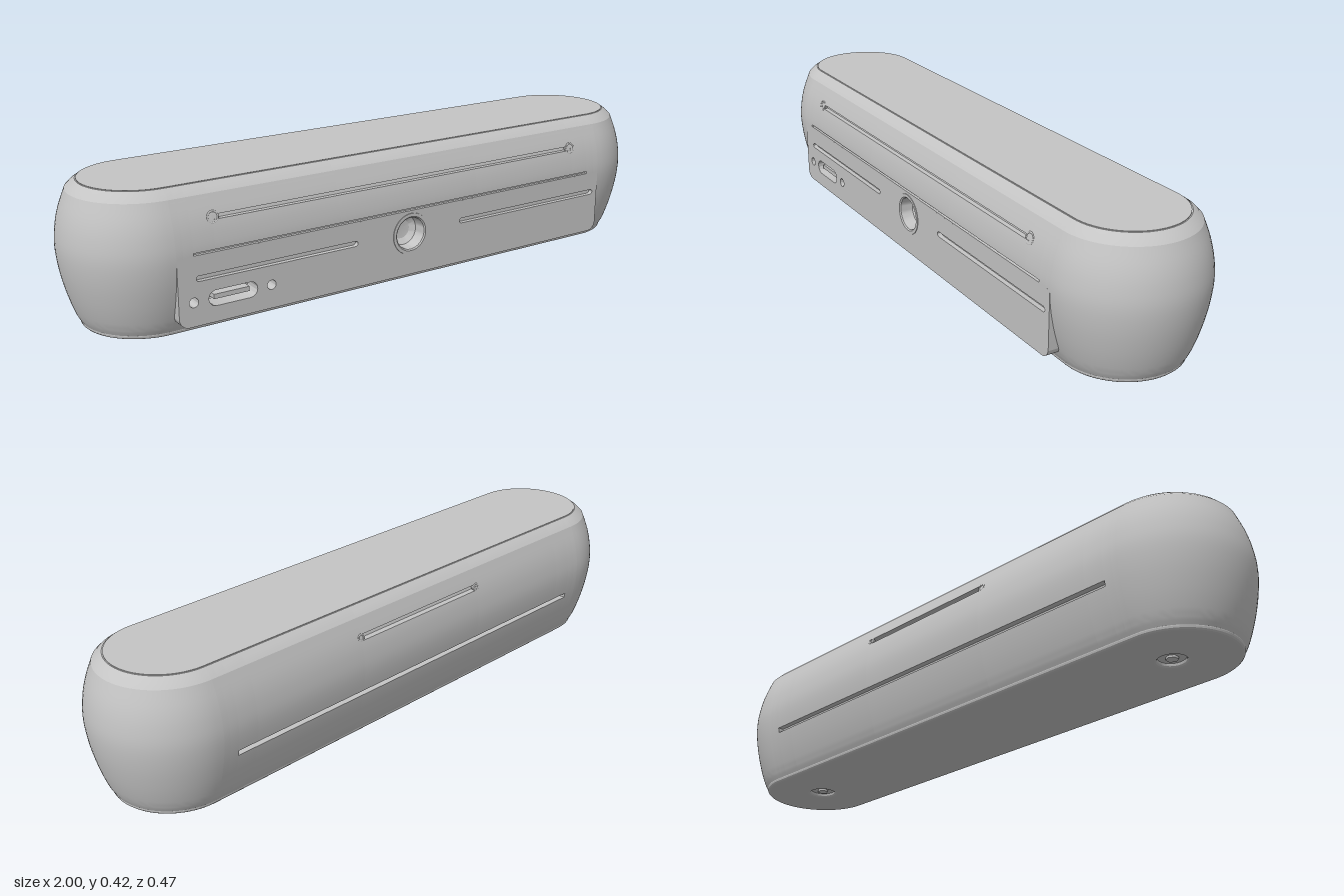
import * as THREE from 'three';
import { toCreasedNormals } from 'three/addons/utils/BufferGeometryUtils.js';

const HALF = 0.765; // half length of the straight middle
const vectors = list => list.map(p => new THREE.Vector2(...p));

// Bulging side profile: radius against height
const curve = new THREE.SplineCurve(vectors([
  [0.181, 0.012], [0.195, 0.04], [0.214, 0.1], [0.229, 0.17], [0.235, 0.235],
  [0.23, 0.29], [0.218, 0.34], [0.198, 0.393],
]));
const profile = [...curve.getPoints(28), ...vectors([[0.185, 0.406], [0.168, 0.418]])];

function radiusAt(y) {
  const i = Math.max(1, profile.findIndex(p => p.y >= y));
  const a = profile[i - 1], b = profile[i];
  return THREE.MathUtils.lerp(a.x, b.x, (y - a.y) / (b.y - a.y));
}

// Recesses running along the straight front and back: reach in x, heights, depth
const frontRecesses = [
  { reach: 0.745, y0: 0.075, y1: 0.225, d: 0.055 },
  { reach: 0.715, y0: 0.238, y1: 0.245, d: 0.01 },
  { reach: 0.65, y0: 0.325, y1: 0.338, d: 0.015 },
];
const backRecesses = [
  { reach: 0.715, y0: 0.154, y1: 0.17, d: 0.018 },
  { reach: 0.25, y0: 0.328, y1: 0.346, d: 0.018 },
];

// One wall of the cross-section, bottom to top, with recesses cut in
function wall(recesses) {
  let pts = profile.map(p => [p.x, p.y]);
  for (const { y0, y1, d } of recesses) {
    pts = pts.filter(p => p[1] < y0 - 1e-4 || p[1] > y1 + 1e-4);
    const a = radiusAt(y0), b = radiusAt(y1);
    pts.push([a, y0], [a - d, y0], [b - d, y1], [b, y1]);
  }
  return pts.sort((p, q) => p[1] - q[1]);
}

function bodySegment(x0, x1) {
  const mid = Math.abs(x0 + x1) / 2;
  const active = list => list.filter(r => r.reach > mid);
  const front = wall(active(frontRecesses));
  const back = wall(active(backRecesses)).reverse().map(([r, y]) => [-r, y]);
  const shape = new THREE.Shape(vectors([...front, ...back]));
  const g = new THREE.ExtrudeGeometry(shape, { depth: x1 - x0, bevelEnabled: false });
  g.rotateY(-Math.PI / 2).translate(x1, 0, 0);
  return toCreasedNormals(g, 0.4);
}

// Rounded bar outline, as a Shape or a hole Path
function stadium(cx, cy, halfLength, r, Type = THREE.Shape) {
  const s = new Type(), h = halfLength - r;
  s.absarc(cx + h, cy, r, -Math.PI / 2, Math.PI / 2, false);
  s.absarc(cx - h, cy, r, Math.PI / 2, Math.PI * 1.5, false);
  s.closePath();
  return s;
}
const circleHole = (x, y, r) => new THREE.Path().absarc(x, y, r, 0, Math.PI * 2, true);

export function createModel() {
  const root = new THREE.Group();
  const grey = new THREE.MeshStandardMaterial({ color: 0xc4c4c4 });
  grey.name = 'lightGrey';
  const add = (name, geometry, x = 0, y = 0, z = 0) => {
    const m = new THREE.Mesh(geometry, grey);
    m.name = name;
    m.position.set(x, y, z);
    root.add(m);
    return m;
  };

  // Straight middle of the body, split where recesses end
  const cuts = [0.25, 0.65, 0.715, 0.745, HALF];
  add('bodyMiddle', bodySegment(-cuts[0], cuts[0]));
  for (let i = 1; i < cuts.length; i++) {
    add('bodyLeft', bodySegment(cuts[i - 1], cuts[i]));
    add('bodyRight', bodySegment(-cuts[i], -cuts[i - 1]));
  }

  // Rounded ends
  const endProfile = [new THREE.Vector2(0, 0.012), ...profile, new THREE.Vector2(0, 0.418)];
  for (const side of [1, -1]) {
    const g = new THREE.LatheGeometry(endProfile, 40, side > 0 ? 0 : Math.PI, Math.PI);
    add('roundedEnd', toCreasedNormals(g, 0.4), side * HALF);
  }

  // Flat lid
  const lid = new THREE.ExtrudeGeometry(stadium(0, 0, HALF + 0.165, 0.165),
    { depth: 0.004, bevelEnabled: false, curveSegments: 32 });
  add('topLid', toCreasedNormals(lid.rotateX(-Math.PI / 2), 0.5), 0, 0.416, 0);

  // Base plate with two screw holes
  const baseShape = stadium(0, 0, HALF + 0.171, 0.171);
  for (const s of [1, -1]) baseShape.holes.push(circleHole(s * 0.75, 0, 0.049));
  const base = new THREE.ExtrudeGeometry(baseShape, {
    depth: 0.002, bevelThickness: 0.01, bevelSize: 0.01, bevelSegments: 3, curveSegments: 32,
  });
  add('basePlate', toCreasedNormals(base.rotateX(-Math.PI / 2), 0.2), 0, 0.01, 0);
  for (const s of [1, -1]) {
    add('baseScrew', new THREE.CylinderGeometry(0.018, 0.018, 0.008, 6), s * 0.75, 0.009, 0);
  }

  // Upright front panel with rounded lower corners and openings
  const c = 0.03, px = HALF, y0 = 0.035, y1 = 0.236;
  const panel = new THREE.Shape();
  panel.moveTo(-px, y1).lineTo(-px, y0 + c);
  panel.absarc(-px + c, y0 + c, c, Math.PI, Math.PI * 1.5, false);
  panel.absarc(px - c, y0 + c, c, Math.PI * 1.5, Math.PI * 2, false);
  panel.lineTo(px, y1);
  panel.holes.push(
    circleHole(0, 0.165, 0.058),
    stadium(-0.45, 0.171, 0.26, 0.008, THREE.Path),
    stadium(0.465, 0.171, 0.28, 0.008, THREE.Path),
    stadium(-0.6, 0.105, 0.075, 0.023, THREE.Path),
    circleHole(-0.72, 0.105, 0.014),
    circleHole(-0.48, 0.105, 0.014),
  );
  const panelGeo = new THREE.ExtrudeGeometry(panel, { depth: 0.06, bevelEnabled: false, curveSegments: 24 });
  add('frontPanel', toCreasedNormals(panelGeo, 0.5), 0, 0, 0.175);

  // Slot floors keep the long panel slots shallow
  for (const [x, w] of [[-0.45, 0.53], [0.465, 0.56]]) {
    add('slotFloor', new THREE.BoxGeometry(w, 0.024, 0.04), x, 0.171, 0.2);
  }

  // Charging port tongue
  add('portTongue', new THREE.BoxGeometry(0.11, 0.014, 0.05), -0.6, 0.105, 0.2);

  // Round central socket: outer rim, then the inner wall down to the floor
  const socket = new THREE.LatheGeometry(vectors([
    [0.066, 0.23], [0.064, 0.2365], [0.054, 0.2365], [0.05, 0.233], [0.046, 0.195], [0.03, 0.182], [0, 0.178],
  ]), 40);
  add('centralSocket', toCreasedNormals(socket.rotateX(Math.PI / 2), 0.5), 0, 0.165, 0);

  // Small round ends on the front groove and the short back slot, tilted with the wall
  const roundEnd = (name, x, y, sign, r) => {
    const z = sign * (radiusAt(y) - 0.002), tilt = -sign * 0.24;
    add(name, new THREE.TorusGeometry(r, 0.003, 8, 24), x, y, z).rotation.x = tilt;
    const plug = new THREE.CylinderGeometry(r, r, 0.01, 24).rotateX(Math.PI / 2);
    add(name + 'Plug', plug, x, y, z - sign * 0.004).rotation.x = tilt;
  };
  for (const s of [1, -1]) {
    roundEnd('frontGrooveEnd', s * 0.647, 0.3315, 1, 0.016);
    roundEnd('backSlotEnd', s * 0.25, 0.337, -1, 0.01);
  }
  return root;
}
